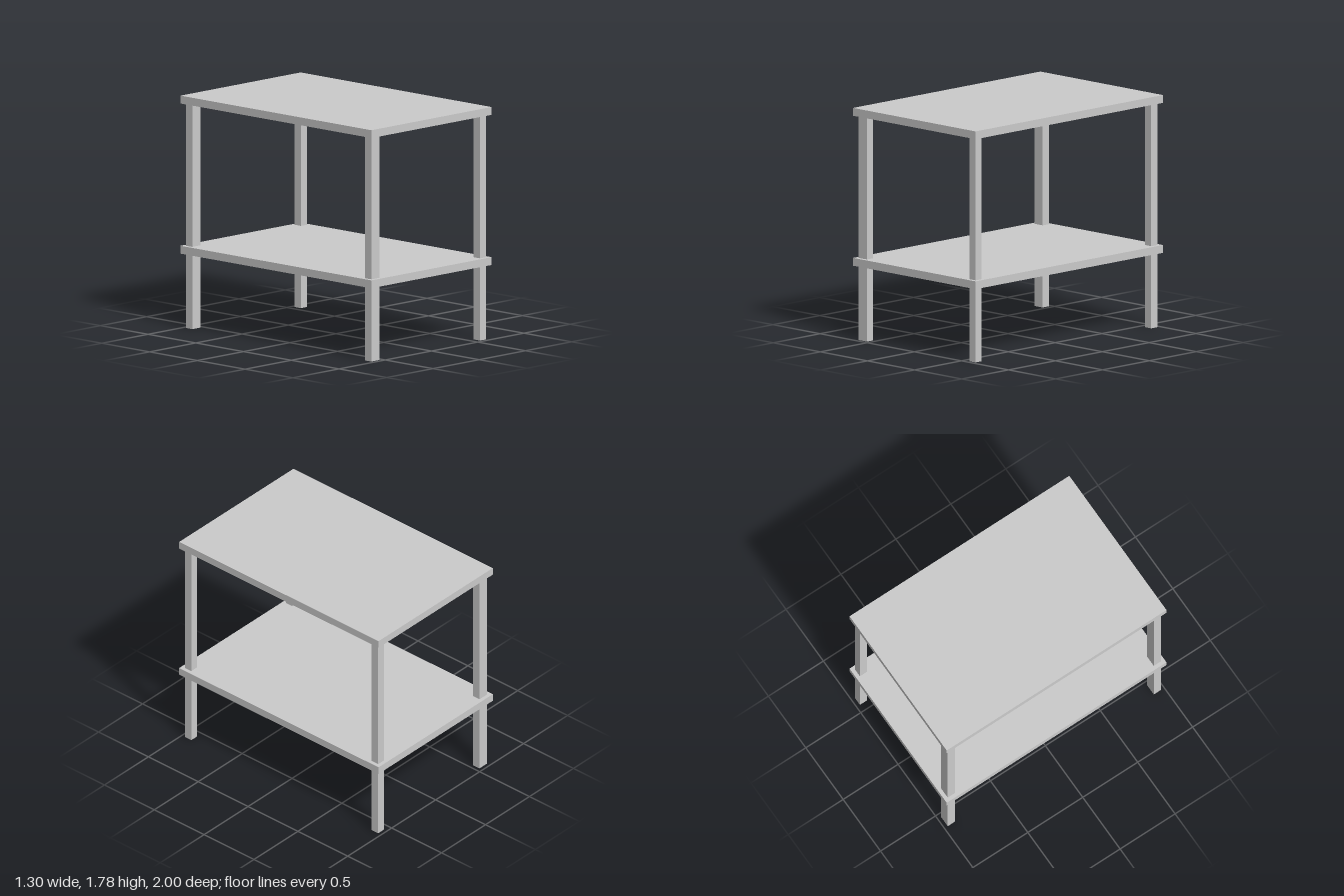
import * as THREE from 'three';

const material = new THREE.MeshStandardMaterial({ color: 0xcccccc, flatShading: true });

// Box given by its size and centre
function addBox(group, name, [w, h, d], [x, y, z]) {
  const mesh = new THREE.Mesh(new THREE.BoxGeometry(w, h, d), material);
  mesh.name = name;
  mesh.position.set(x, y, z);
  group.add(mesh);
}

export function createModel() {
  const group = new THREE.Group();
  group.name = 'sideTable';

  // Two identical boards
  const thickness = 0.06, topY = 1.75, shelfY = 0.6;
  addBox(group, 'tableTop', [1.3, thickness, 2], [0, topY, 0]);
  addBox(group, 'lowerShelf', [1.3, thickness, 2], [0, shelfY, 0]);

  // Four legs running up through the shelf; the pair on the right is wider
  const legHeight = topY - thickness / 2, legDepth = 0.065, inset = 0.03;
  for (const [side, sx, width] of [['Left', 1, 0.065], ['Right', -1, 0.088]]) {
    for (const [end, sz] of [['front', 1], ['back', -1]]) {
      addBox(group, `${end}${side}Leg`, [width, legHeight, legDepth],
        [sx * (0.65 - inset - width / 2), legHeight / 2, sz * (1 - inset - legDepth / 2)]);
    }
  }
  return group;
}
